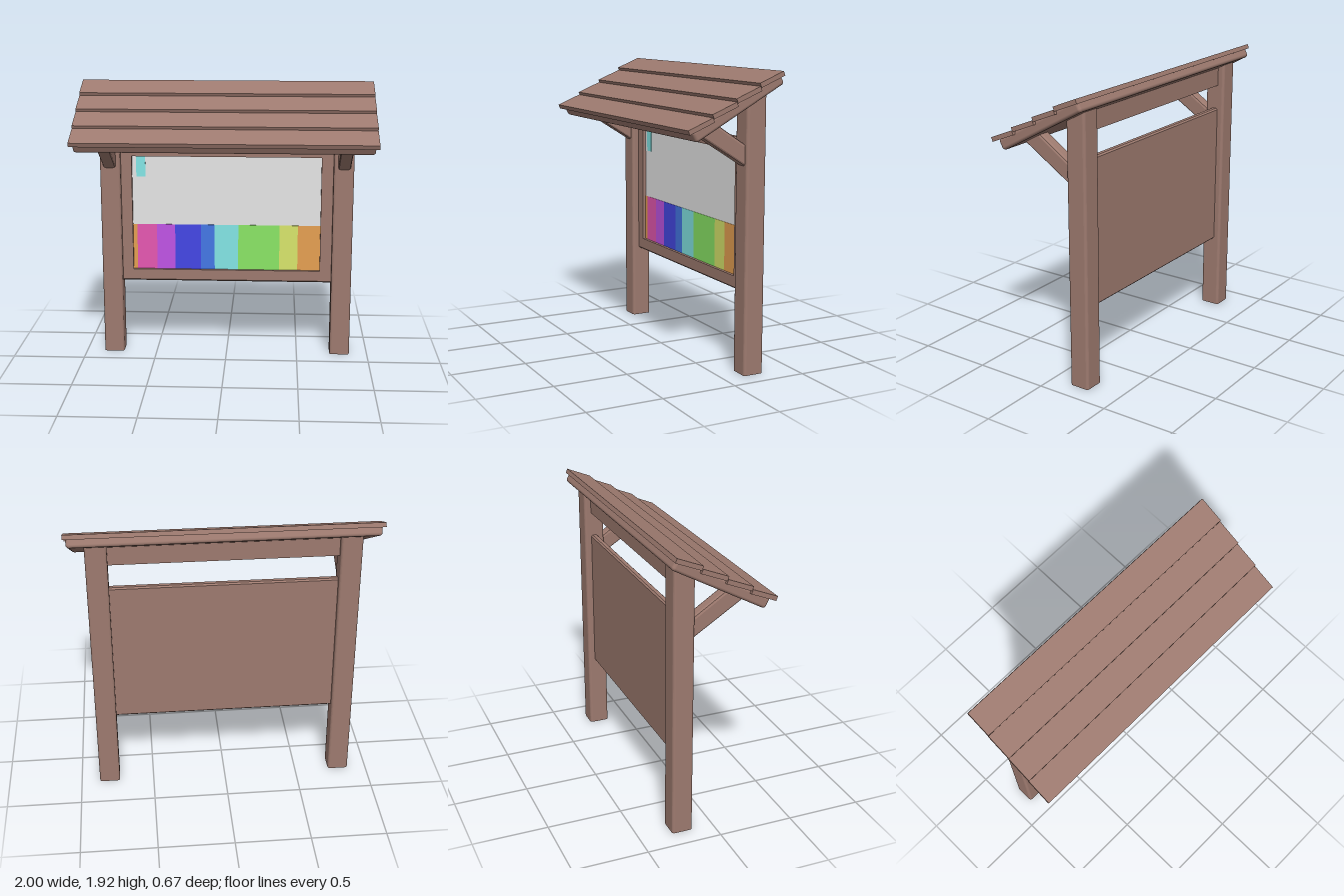
import * as THREE from 'three';
import { RoundedBoxGeometry } from 'three/addons/geometries/RoundedBoxGeometry.js';

function makeMaterial(name, color) {
  const m = new THREE.MeshStandardMaterial({ color });
  m.name = name;
  return m;
}

const wood = makeMaterial('brown wood', 0x9d7a6f);
wood.side = THREE.DoubleSide; // posts are open underneath
const paper = makeMaterial('pale grey', 0xe5e5e5);
const orange = makeMaterial('orange', 0xe5a052);
const pink = makeMaterial('pink', 0xe557b1);
const purple = makeMaterial('purple', 0xbf54e5);
const blue = makeMaterial('deep blue', 0x4447e5);
const midBlue = makeMaterial('mid blue', 0x4477e5);
const cyan = makeMaterial('cyan', 0x83e5e5);
const green = makeMaterial('green', 0x8ae566);
const yellow = makeMaterial('yellow', 0xd8e56c);

// Key depths and the underside of the sloping roof
const POST_FRONT = -0.143, POST_BACK = -0.282;
const FRAME_FRONT = -0.19, FRAME_BACK = -0.236, BOARD = -0.215;
const ROOF_ANGLE = 0.502;
const roofUnder = (z) => 1.74 + (POST_FRONT - z) * 0.549;

// Side profile of [z, y] points, extruded along x
function profile(points, width, bevel = 0) {
  const shape = new THREE.Shape(points.map(([z, y]) => new THREE.Vector2(z, y)));
  const depth = width - 2 * bevel;
  const g = new THREE.ExtrudeGeometry(shape, {
    depth, bevelEnabled: bevel > 0, bevelSize: bevel, bevelThickness: bevel,
    bevelOffset: -bevel, bevelSegments: 2,
  });
  g.translate(0, 0, -depth / 2);
  g.rotateY(-Math.PI / 2);
  return g;
}

// Square post with rounded corners and a top sloped to meet the roof
function postGeometry() {
  const w = 0.0695, d = (POST_FRONT - POST_BACK) / 2, r = 0.018;
  const shape = new THREE.Shape();
  [[1, 1], [-1, 1], [-1, -1], [1, -1]].forEach(([sx, sy], i) => {
    const a = i * Math.PI / 2;
    shape.absarc(sx * (w - r), sy * (d - r), r, a, a + Math.PI / 2, false);
  });
  const full = new THREE.ExtrudeGeometry(shape, { depth: 1, bevelEnabled: false, curveSegments: 4 });
  const walls = full.groups[1];
  const g = new THREE.BufferGeometry();
  g.setAttribute('position', new THREE.BufferAttribute(
    full.attributes.position.array.slice(walls.start * 3, (walls.start + walls.count) * 3), 3));
  g.rotateX(-Math.PI / 2);
  g.translate(0, 0, (POST_FRONT + POST_BACK) / 2);
  const p = g.attributes.position;
  for (let i = 0; i < p.count; i++) {
    if (p.getY(i) > 0.5) p.setY(i, roofUnder(p.getZ(i)) + 0.012);
  }
  g.computeVertexNormals();
  return g;
}

export function createModel() {
  const model = new THREE.Group();
  model.name = 'noticeBoard';

  function add(name, geometry, material = wood, x = 0, y = 0, z = 0, tilt = 0) {
    const mesh = new THREE.Mesh(geometry, material);
    mesh.name = name;
    mesh.position.set(x, y, z);
    mesh.rotation.x = tilt;
    model.add(mesh);
  }

  // Posts and roof braces
  const post = postGeometry();
  const brace = profile([[-0.16, 1.329], [0.224, 1.571], [0.102, 1.638], [-0.16, 1.466]], 0.085, 0.018);
  for (const [side, s] of [['left', 1], ['right', -1]]) {
    add(side + 'Post', post, wood, s * 0.8045);
    add(side + 'Brace', brace, wood, s * 0.807);
  }

  // Beam under the roof
  add('roofBeam', profile([
    [FRAME_BACK, 1.665], [FRAME_FRONT, 1.665],
    [FRAME_FRONT, roofUnder(FRAME_FRONT) + 0.01], [FRAME_BACK, roofUnder(FRAME_BACK) + 0.01],
  ], 1.48));

  // Back panel and the frame around the display
  const c = 0.01, W = 1.476, bottom = 0.518, top = 1.5;
  const sheetBottom = 0.601, sheetTop = 1.413, sheetLeft = 0.654, sheetRight = -0.66;
  add('backPanel', profile([
    [FRAME_BACK, bottom + c], [FRAME_BACK + c, bottom], [BOARD, bottom],
    [BOARD, top], [FRAME_BACK + c, top], [FRAME_BACK, top - c],
  ], W));
  add('frameBottom', profile([
    [BOARD, bottom], [FRAME_FRONT - c, bottom], [FRAME_FRONT, bottom + c],
    [FRAME_FRONT, sheetBottom], [BOARD, sheetBottom],
  ], W));
  add('frameTop', profile([
    [BOARD, sheetTop], [FRAME_FRONT, sheetTop], [FRAME_FRONT, top - c],
    [FRAME_FRONT - c, top], [BOARD, top],
  ], W));
  const box = (name, material, x0, x1, y0, y1, z0, z1) => add(name,
    new THREE.BoxGeometry(x1 - x0, y1 - y0, z1 - z0), material,
    (x0 + x1) / 2, (y0 + y1) / 2, (z0 + z1) / 2);
  box('leftFrame', wood, sheetLeft, W / 2, sheetBottom, sheetTop, BOARD, FRAME_FRONT);
  box('rightFrame', wood, -W / 2, sheetRight, sheetBottom, sheetTop, BOARD, FRAME_FRONT);

  // Display sheet with coloured bands
  const plate = (name, material, x0, x1, y0, y1, lift) =>
    box(name, material, x0, x1, y0, y1, BOARD, BOARD + lift);
  plate('displaySheet', paper, sheetRight, sheetLeft, sheetBottom, sheetTop, 0.002);
  const edges = [sheetRight, -0.631, -0.492, -0.364, -0.182, -0.086, 0.08, 0.369, 0.497, sheetLeft];
  [orange, pink, purple, blue, midBlue, cyan, green, yellow, orange].forEach((m, i) =>
    plate('colourBand' + (i + 1), m, edges[i], edges[i + 1], sheetBottom, 0.925, 0.004));
  plate('cornerTab', cyan, -0.631, -0.567, 1.265, sheetTop, 0.004);

  // Roof slab and four overlapping planks
  add('roofSlab', new RoundedBoxGeometry(1.96, 0.075, 0.69, 3, 0.02), wood, 0, 1.714, -0.02, ROOF_ANGLE);
  const plank = new THREE.BoxGeometry(2, 0.03, 0.179);
  plank.translate(0, -0.015, 0);
  for (let i = 0; i < 4; i++) {
    add('roofPlank' + (i + 1), plank, wood, 0, 1.63 + i * 0.0867, 0.2525 - i * 0.1617, 0.39);
  }
  return model;
}
